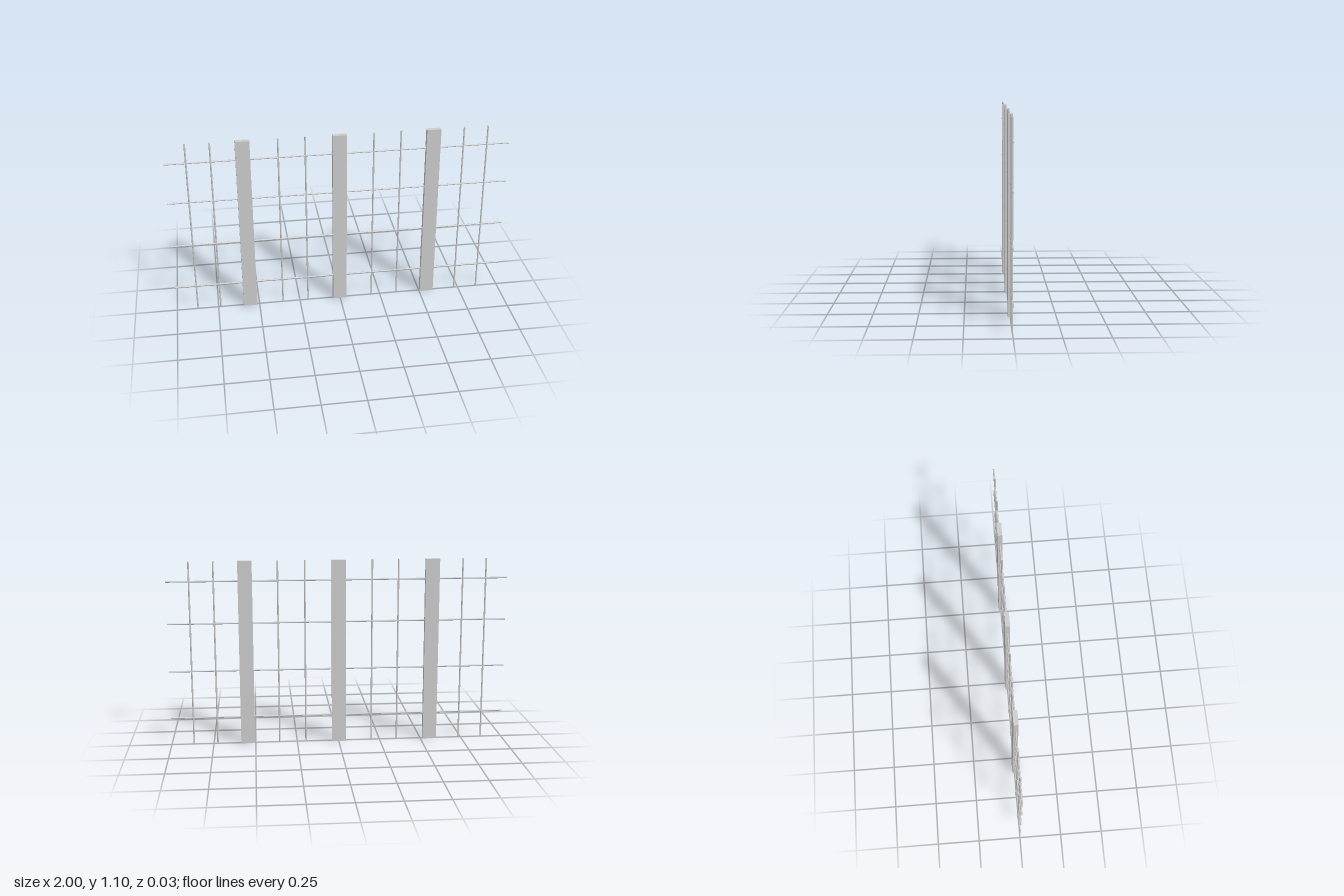
import * as THREE from 'three';

const HEIGHT = 1.1;
const LENGTH = 2;
const ROD_RADIUS = 0.0048;

export function createModel() {
  const group = new THREE.Group();
  group.name = 'railing';
  const material = new THREE.MeshStandardMaterial({ color: 0xcccccc });

  const add = (name, geometry, x, y) => {
    const mesh = new THREE.Mesh(geometry, material);
    mesh.name = name;
    mesh.position.set(x, y, 0);
    group.add(mesh);
    return mesh;
  };

  // Flat posts, full height
  const postGeometry = new THREE.BoxGeometry(0.083, HEIGHT, 0.027);
  [-0.555, -0.002, 0.545].forEach((x, i) => add(`post${i + 1}`, postGeometry, x, HEIGHT / 2));

  // Thin upright rods between and beyond the posts
  const uprightGeometry = new THREE.CylinderGeometry(ROD_RADIUS, ROD_RADIUS, HEIGHT, 8);
  [-0.874, -0.736, -0.354, -0.199, 0.197, 0.355, 0.726, 0.867].forEach((x, i) =>
    add(`uprightRod${i + 1}`, uprightGeometry, x, HEIGHT / 2));

  // Long horizontal rods running through the posts
  const crossGeometry = new THREE.CylinderGeometry(ROD_RADIUS, ROD_RADIUS, LENGTH, 8);
  crossGeometry.rotateZ(Math.PI / 2);
  [0.164, 0.449, 0.734, 0.983].forEach((y, i) => add(`crossRod${i + 1}`, crossGeometry, 0, y));

  return group;
}
